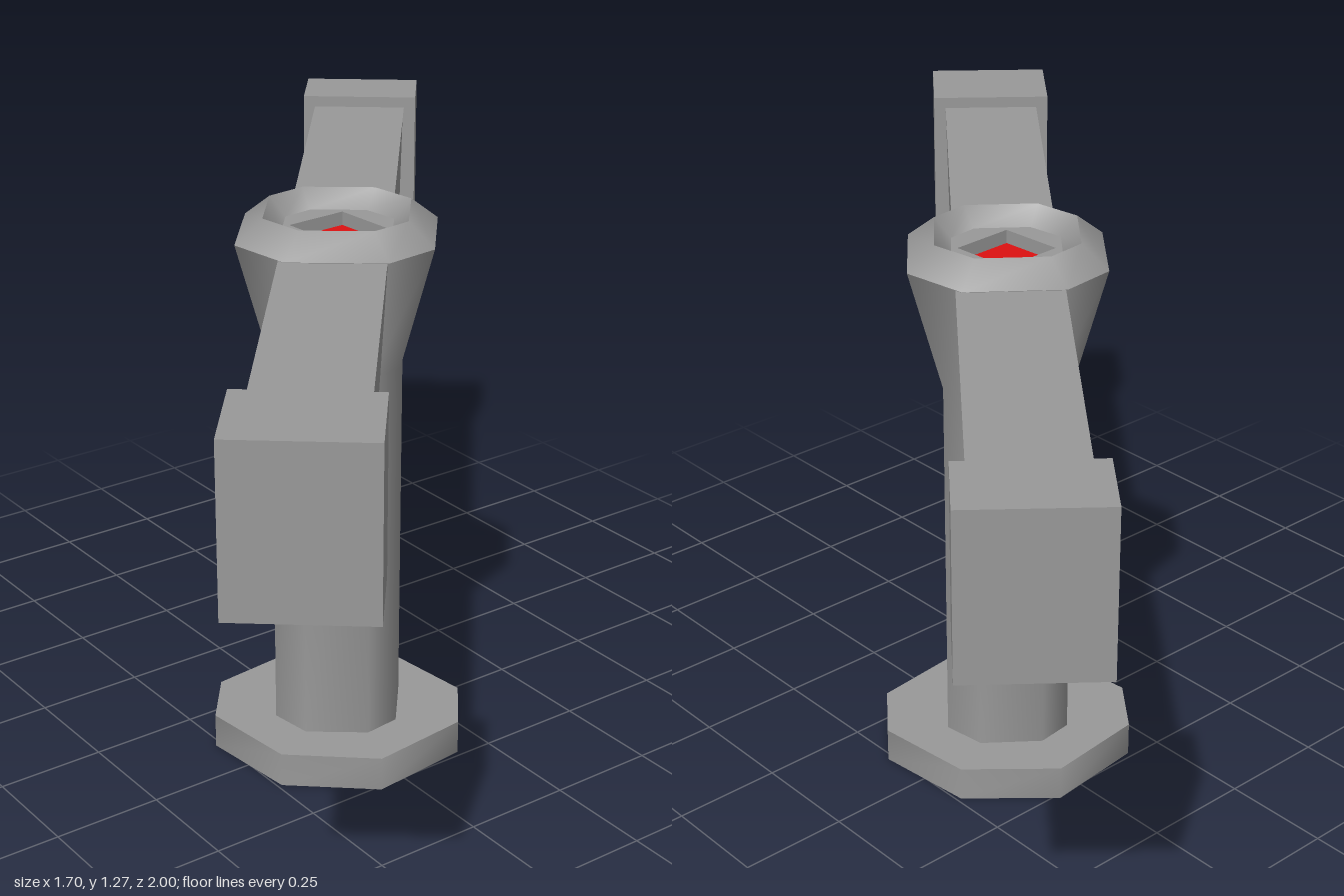
import * as THREE from 'three';
import { toCreasedNormals } from 'three/addons/utils/BufferGeometryUtils.js';

const grey = new THREE.MeshStandardMaterial({ color: 0x999999, side: THREE.DoubleSide });
grey.name = 'grey metal';
const red = new THREE.MeshStandardMaterial({ color: 0xdd1111, side: THREE.DoubleSide });
red.name = 'red light';

// Irregular octagons as [x, z]; the second half mirrors the first through the centre
const octagon = (half) => [...half, ...half.map(([x, z]) => [-x, -z])];
const BASE = octagon([[0.265, 0.115], [0.168, 0.237], [-0.07, 0.262], [-0.24, 0.115]]);
const HEAD = octagon([[0.23, 0.05], [0.09, 0.217], [-0.04, 0.232], [-0.21, 0.1]]);

// Skin between copies of an outline, each level given as [scale, y]
function loft(outline, levels, capBottom, capTop) {
  const pos = [];
  const n = outline.length;
  const put = (l, i) => {
    const [s, y] = levels[l];
    const [x, z] = outline[i % n];
    pos.push(x * s, y, z * s);
  };
  for (let l = 0; l < levels.length - 1; l++) {
    for (let i = 0; i < n; i++) {
      put(l, i); put(l + 1, i); put(l, i + 1);
      put(l, i + 1); put(l + 1, i); put(l + 1, i + 1);
    }
  }
  const top = levels.length - 1;
  for (let i = 1; i < n - 1; i++) {
    if (capBottom) { put(0, 0); put(0, i); put(0, i + 1); }
    if (capTop) { put(top, 0); put(top, i + 1); put(top, i); }
  }
  const g = new THREE.BufferGeometry();
  g.setAttribute('position', new THREE.Float32BufferAttribute(pos, 3));
  g.computeVertexNormals();
  return toCreasedNormals(g, 1.05);
}

// Box between two x positions; bottom heights and bottom widths may differ at each end
function taperedBox(x0, x1, top, bottom0, bottom1, half, bottomHalf0, bottomHalf1) {
  const g = new THREE.BoxGeometry(1, 1, 1);
  const p = g.attributes.position;
  for (let i = 0; i < p.count; i++) {
    const near = p.getX(i) < 0;
    const upper = p.getY(i) > 0;
    const w = upper ? half : near ? bottomHalf0 : bottomHalf1;
    p.setXYZ(i, near ? x0 : x1, upper ? top : near ? bottom0 : bottom1, Math.sign(p.getZ(i)) * w);
  }
  g.computeVertexNormals();
  return g;
}

export function createModel() {
  const model = new THREE.Group();
  const add = (name, geometry, material = grey, parent = model) => {
    const mesh = new THREE.Mesh(geometry, material);
    mesh.name = name;
    parent.add(mesh);
    return mesh;
  };

  // Foot plate
  add('base', loft(BASE, [[1, 0], [1, 0.08]], true, true));

  // Column flaring into the head, then over the rim into a shallow bowl
  add('column', loft(HEAD, [
    [0.66, 0.08], [0.66, 0.945], [1, 1.225], [0.73, 1.275], [0.56, 1.235],
  ]));

  // Bowl floor with a square opening
  const floor = new THREE.Shape(HEAD.map(([x, z]) => new THREE.Vector2(x * 0.56, -z * 0.56)));
  const s = 0.073;
  floor.holes.push(new THREE.Path([[-s, -s], [-s, s], [s, s], [s, -s]].map(
    ([x, y]) => new THREE.Vector2(x, y).rotateAround(new THREE.Vector2(), 0.06))));
  const floorMesh = add('bowlFloor', new THREE.ShapeGeometry(floor));
  floorMesh.rotation.x = -Math.PI / 2;
  floorMesh.position.y = 1.235;

  // Square pit walls and the red light at the bottom
  const pit = add('pitWalls', toCreasedNormals(
    new THREE.CylinderGeometry(s * Math.SQRT2, s * Math.SQRT2, 0.035, 4, 1, true), 0.5));
  pit.rotation.y = Math.PI / 4 + 0.06;
  pit.position.y = 1.2175;
  const light = add('redLight', new THREE.BoxGeometry(2 * s, 0.008, 2 * s), red);
  light.rotation.y = 0.06;
  light.position.y = 1.201;

  // Two opposite arms, each ending in a block
  const arms = [
    { name: 'back', turn: 0.885, inner: 1.0, armBottom: 0.945, blockIn: 0.91, blockOut: 0.91 },
    { name: 'front', turn: 0.885 + Math.PI, inner: 0.955, armBottom: 0.925, blockIn: 0.895, blockOut: 0.91 },
  ];
  for (const a of arms) {
    const group = new THREE.Group();
    group.name = a.name + 'Arm';
    group.rotation.y = a.turn;
    model.add(group);
    add(a.name + 'Beam', taperedBox(0.13, a.inner + 0.03, 1.224, 0.945, a.armBottom, 0.112, 0.04, 0.105), grey, group);
    add(a.name + 'EndBlock', taperedBox(a.inner, 1.175, 1.25, a.blockIn, a.blockOut, 0.14, 0.14, 0.14), grey, group);
  }
  return model;
}
